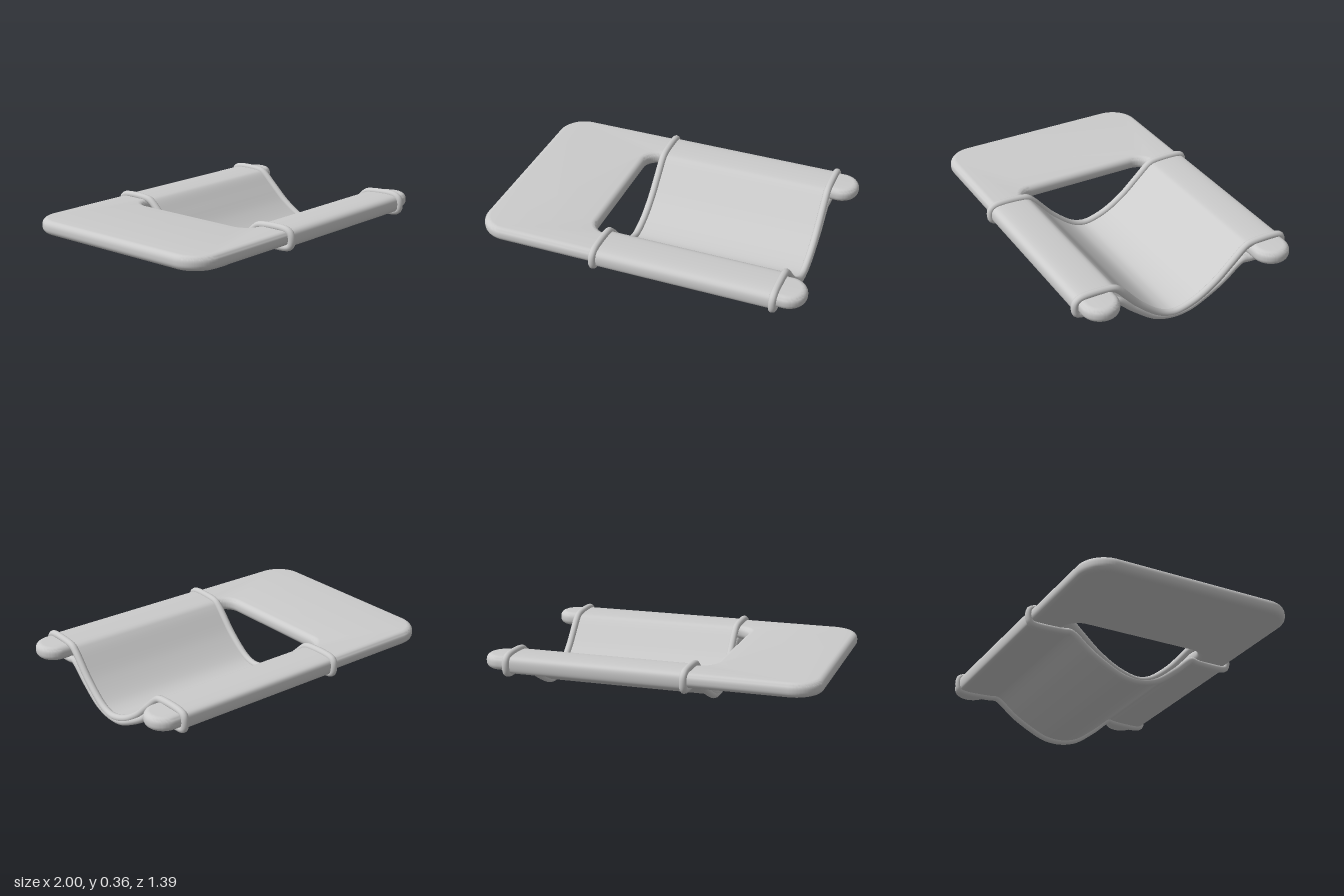
import * as THREE from 'three';
import { toCreasedNormals } from 'three/addons/utils/BufferGeometryUtils.js';

const material = new THREE.MeshStandardMaterial({ color: 0xcccccc, side: THREE.DoubleSide });

// U-shaped board outline, drawn in x and z
function boardShape() {
  const s = new THREE.Shape();
  const w = 0.664, inner = 0.444, r = 0.17, f = 0.09, t = 0.11, slot = -0.34;
  const mid = (w + inner) / 2, q = Math.PI / 2;
  s.moveTo(-1 + r, -w);
  s.lineTo(1 - t, -w);
  s.absarc(1 - t, -mid, t, -q, q, false);
  s.lineTo(slot + f, -inner);
  s.absarc(slot + f, -inner + f, f, -q, -2 * q, true);
  s.lineTo(slot, inner - f);
  s.absarc(slot + f, inner - f, f, 2 * q, q, true);
  s.lineTo(1 - t, inner);
  s.absarc(1 - t, mid, t, -q, q, false);
  s.lineTo(-1 + r, w);
  s.absarc(-1 + r, w - r, r, q, 2 * q, false);
  s.lineTo(-1, -w + r);
  s.absarc(-1 + r, -w + r, r, 2 * q, 3 * q, false);
  return s;
}

// Closed sling profile as [z, y]: around both arms, with two layers sagging between
const profile = [
  [0.47, 0.343], [0.64, 0.343], [0.668, 0.325], [0.676, 0.29], [0.668, 0.255], [0.64, 0.242],
  [0.46, 0.244], [0.42, 0.25], [0.306, 0.157], [0.18, 0.065], [0.1, 0.036], [0.02, 0.028],
  [-0.05, 0.037], [-0.12, 0.064], [-0.265, 0.144], [-0.4, 0.245], [-0.45, 0.242], [-0.63, 0.24],
  [-0.66, 0.252], [-0.67, 0.3], [-0.662, 0.33], [-0.635, 0.343],
  [-0.46, 0.343], [-0.425, 0.332], [-0.335, 0.252], [-0.227, 0.155], [-0.1, 0.076], [0.022, 0.039],
  [0.08, 0.043], [0.143, 0.068], [0.27, 0.168], [0.4, 0.31], [0.43, 0.334],
];
const loopAt = x => new THREE.CatmullRomCurve3(
  profile.map(([z, y]) => new THREE.Vector3(x, y, z)), true, 'centripetal');

// Thin fabric sheet swept along x between two profile loops
function sheetGeometry(x0, x1, steps) {
  const points = loopAt(0).getPoints(steps);
  const g = new THREE.PlaneGeometry(1, 1, steps, 1);
  const p = g.attributes.position;
  for (let i = 0; i < p.count; i++) {
    const pt = points[i % (steps + 1)];
    p.setXYZ(i, i > steps ? x1 : x0, pt.y, pt.z);
  }
  g.computeVertexNormals();
  return g;
}

export function createModel() {
  const group = new THREE.Group();
  const add = (name, geometry) => {
    const mesh = new THREE.Mesh(geometry, material);
    mesh.name = name;
    group.add(mesh);
    return mesh;
  };

  // Board with softly rounded edges
  const top = 0.34, thick = 0.085, bevel = 0.036;
  const board = new THREE.ExtrudeGeometry(boardShape(), {
    depth: thick - 2 * bevel, bevelThickness: bevel, bevelSize: bevel,
    bevelOffset: -bevel, bevelSegments: 6, curveSegments: 20,
  });
  board.rotateX(Math.PI / 2);
  board.translate(0, top - bevel, 0);
  add('board', toCreasedNormals(board, 0.7));

  // Fabric sling and the piping along both of its edges
  const x0 = -0.24, x1 = 0.835;
  add('sling', sheetGeometry(x0, x1, 240));
  add('innerPiping', new THREE.TubeGeometry(loopAt(x0), 240, 0.022, 12, true));
  add('outerPiping', new THREE.TubeGeometry(loopAt(x1), 240, 0.022, 12, true));

  return group;
}
